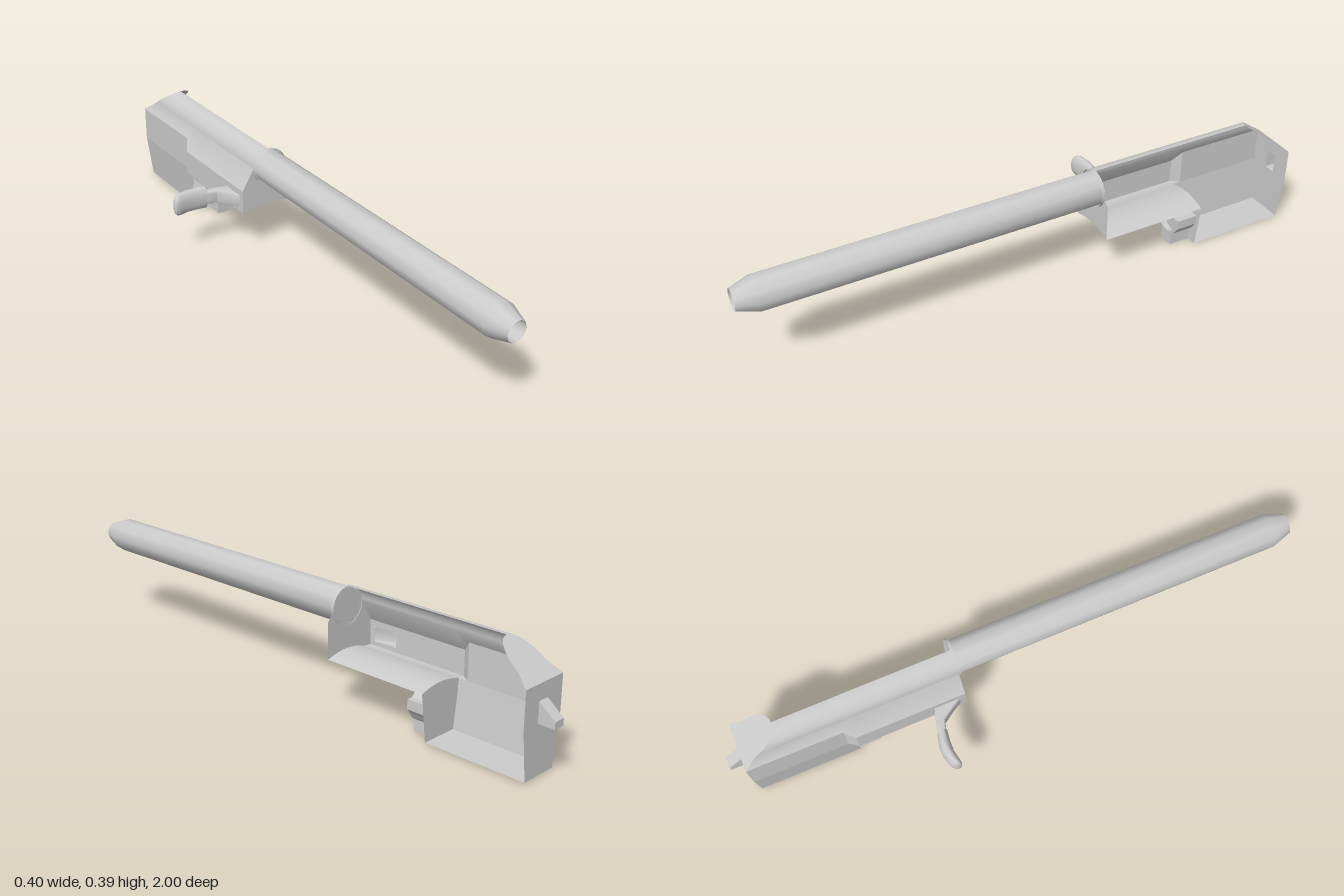
import * as THREE from 'three';
import { toCreasedNormals } from 'three/addons/utils/BufferGeometryUtils.js';

const MAT = new THREE.MeshStandardMaterial({ color: 0xcccccc, side: THREE.DoubleSide });
const CX = 0.114, CY = 0.322, R = 0.064;          // bore axis and shell radius
const FRONT = -0.21, STEP = -0.59, BACK = -0.945; // main stations along z

// Skin between rows of points, with sharp edges kept
function loft(rows, closed = false) {
  const n = rows[0].length, idx = [];
  for (let i = 0; i < rows.length - 1; i++) {
    for (let j = 0; j < (closed ? n : n - 1); j++) {
      const a = i * n + j, b = i * n + (j + 1) % n;
      idx.push(a, b, a + n, b, b + n, a + n);
    }
  }
  const g = new THREE.BufferGeometry();
  g.setAttribute('position', new THREE.Float32BufferAttribute(rows.flat(2), 3));
  g.setIndex(idx);
  return toCreasedNormals(g, 0.6);
}

const shape = pts => new THREE.Shape(pts.map(p => new THREE.Vector2(p[0], p[1])));
const circleHole = (x, y, r) => new THREE.Path().absarc(x, y, r, 0, Math.PI * 2, true);
const atZ = (pts, z) => pts.map(p => [p[0], p[1], z]);
const mirror = pts => pts.map(p => [2 * CX - p[0], p[1]]);

export function createModel() {
  const group = new THREE.Group();
  const add = (name, geometry, z = 0) => {
    const m = new THREE.Mesh(geometry, MAT);
    m.name = name;
    m.position.z = z;
    group.add(m);
    return m;
  };

  // Shared profiles
  const arc = [];
  for (let i = 0; i <= 10; i++) {
    const a = Math.PI - i / 10 * Math.PI / 2;
    arc.push([CX + R * Math.cos(a), CY + R * Math.sin(a)]);
  }
  const arch = [];
  for (let i = 0; i <= 10; i++) {
    const t = i / 10;
    arch.push([0.03 + 0.17 * t, 0.165 + 0.016 * (1 - (2 * t - 1) ** 2)]);
  }
  const wide = [[0.007, 0.25], ...arc];
  const narrow = [[0.028, 0.287], ...arc];

  // Upper shell: shoulder and rounded roof, cut off on a slant at the back
  const slantZ = y => -0.81 - (0.387 - Math.max(y, 0.287)) / 0.1 * 0.135;
  add('roofShell', loft([
    atZ(wide, FRONT), atZ(wide, STEP), atZ(narrow, -0.62),
    narrow.map(p => [p[0], p[1], slantZ(p[1])]),
  ]));

  const slant = new THREE.ShapeGeometry(shape([...narrow, ...mirror(narrow).reverse()]));
  const sp = slant.attributes.position;
  for (let i = 0; i < sp.count; i++) sp.setZ(i, slantZ(sp.getY(i)));
  slant.computeVertexNormals();
  add('slantedBack', slant);

  // Side wall with the handle opening (drawn in z, y and turned upright)
  const sideShape = shape([[FRONT, 0.165], [FRONT, 0.25], [STEP, 0.25], [STEP, 0.165]]);
  sideShape.holes.push(new THREE.Path([[-0.23, 0.18], [-0.32, 0.18], [-0.32, 0.228], [-0.23, 0.228]]
    .map(p => new THREE.Vector2(...p))));
  const side = new THREE.ShapeGeometry(sideShape).rotateY(-Math.PI / 2);
  side.translate(0.007, 0, 0);
  add('frontSideWall', side);
  add('rearSideWall', loft([
    [[0.007, 0.165, STEP], [0.007, 0.25, STEP]],
    [[0.028, 0.165, -0.62], [0.028, 0.287, -0.62]],
    [[0.028, 0.165, BACK], [0.028, 0.287, BACK]],
  ]));
  add('stepUnderside', loft([
    [[0.007, 0.165, STEP], [0.028, 0.165, STEP]],
    [[0.028, 0.165, -0.62], [0.028, 0.165, -0.62]],
  ]));

  // Lower side wall and floor of the rear block
  const lower = [[0.028, 0.165], [0.05, 0.005], [0.18, 0.005]];
  add('rearFloor', loft([atZ(lower, STEP), atZ(lower, BACK)]));

  // Arched floor under the front half
  const floor = [[0.007, 0.165], ...arch];
  add('archedFloor', loft([atZ(floor, FRONT), atZ(floor, STEP)]));

  // End plates
  const frontShape = shape([
    ...floor, [0.2, 0.286], ...mirror(arc), ...arc.slice(0, -1).reverse(), [0.007, 0.25],
  ]);
  frontShape.holes.push(circleHole(CX, CY, 0.057));
  add('frontPlate', new THREE.ShapeGeometry(frontShape, 24), FRONT);
  add('stepPlate', new THREE.ShapeGeometry(shape([
    [0.05, 0.005], [0.18, 0.005], ...arch.slice().reverse(),
  ])), STEP);

  const rearShape = shape([
    [0.05, 0.005], [0.18, 0.005], [0.2, 0.165], [0.2, 0.287], [0.028, 0.287], [0.028, 0.165],
  ]);
  const tabHole = [[0.095, 0.168], [0.135, 0.168], [0.135, 0.235], [0.095, 0.235]];
  rearShape.holes.push(new THREE.Path(tabHole.map(p => new THREE.Vector2(...p))));
  add('rearPlate', new THREE.ShapeGeometry(rearShape), BACK);

  // Hollow wedge tab behind the rear plate
  const tabEnd = [[0.095, 0.168], [0.135, 0.168], [0.135, 0.19], [0.095, 0.19]];
  add('rearTab', loft([atZ(tabHole, BACK), atZ(tabEnd, -1)], true));
  add('rearTabEnd', new THREE.ShapeGeometry(shape(tabEnd)), -1);

  // Thin collar around the rod
  const collar = new THREE.CylinderGeometry(R, R, 0.012, 28, 1, true).rotateX(Math.PI / 2);
  add('collar', collar, FRONT + 0.004).position.set(CX, CY, FRONT + 0.004);

  // Ten-sided rod with tapered nose and hollow tip
  const rod = new THREE.LatheGeometry([
    [0, FRONT], [0.059, FRONT], [0.059, 0.93], [0.036, 1], [0.034, 0.94], [0, 0.92],
  ].map(p => new THREE.Vector2(...p)), 10, Math.PI / 10);
  rod.rotateX(Math.PI / 2);
  const rodMesh = add('rod', toCreasedNormals(rod, 0.7));
  rodMesh.position.set(CX, CY, 0);

  // Locking head with lugs and a round recess
  const by = 0.09;
  const headPts = [
    [0.076, 0.174], [0.097, 0.144], [0.062, 0.11], [0.035, 0.128], [0.026, 0.092], [0.06, 0.092],
    [0.064, 0.072], [0.074, 0.056], [0.088, 0.046], [0.088, 0.003], [0.115, 0], [0.142, 0.003],
    [0.142, 0.046], [0.156, 0.058], [0.166, 0.074], [0.176, 0.087], [0.176, 0.12], [0.156, 0.12],
    [0.142, 0.133], [0.142, 0.174], [0.115, 0.18],
  ];
  const head = shape(headPts);
  head.holes.push(circleHole(CX, by, 0.042));
  add('lockingHead', new THREE.ExtrudeGeometry(head, { depth: 0.075, bevelEnabled: false, curveSegments: 16 }), STEP);
  add('headRecess', new THREE.CircleGeometry(0.042, 32).translate(CX, by, 0), -0.535);
  add('pin', new THREE.CylinderGeometry(0.005, 0.005, 0.01, 10).rotateX(Math.PI / 2).translate(CX, by, 0), -0.532);

  // Hollow handle: sections of x, z centre, half depth, half height, roundness
  const sections = [
    [0.007, -0.275, 0.045, 0.024, 0.15], [-0.015, -0.297, 0.03, 0.024, 0.15],
    [-0.04, -0.318, 0.015, 0.024, 0.2], [-0.075, -0.326, 0.014, 0.024, 0.3],
    [-0.075, -0.326, 0.018, 0.041, 0.9], [-0.11, -0.333, 0.02, 0.041, 0.9],
    [-0.145, -0.334, 0.02, 0.041, 0.9], [-0.175, -0.328, 0.019, 0.041, 0.9],
    [-0.19, -0.323, 0.017, 0.037, 0.9], [-0.198, -0.32, 0.012, 0.028, 0.9],
    [-0.201, -0.319, 0.006, 0.015, 0.9], [-0.201, -0.319, 0, 0, 1],
  ];
  const power = (v, e) => Math.sign(v) * Math.abs(v) ** e;
  add('handle', loft(sections.map(([x, z, hz, hy, e]) => {
    const ring = [];
    for (let i = 0; i < 24; i++) {
      const a = (i + 0.5) / 24 * Math.PI * 2;
      ring.push([x, 0.204 + hy * power(Math.sin(a), e), z + hz * power(Math.cos(a), e)]);
    }
    return ring;
  }), true));

  return group;
}
